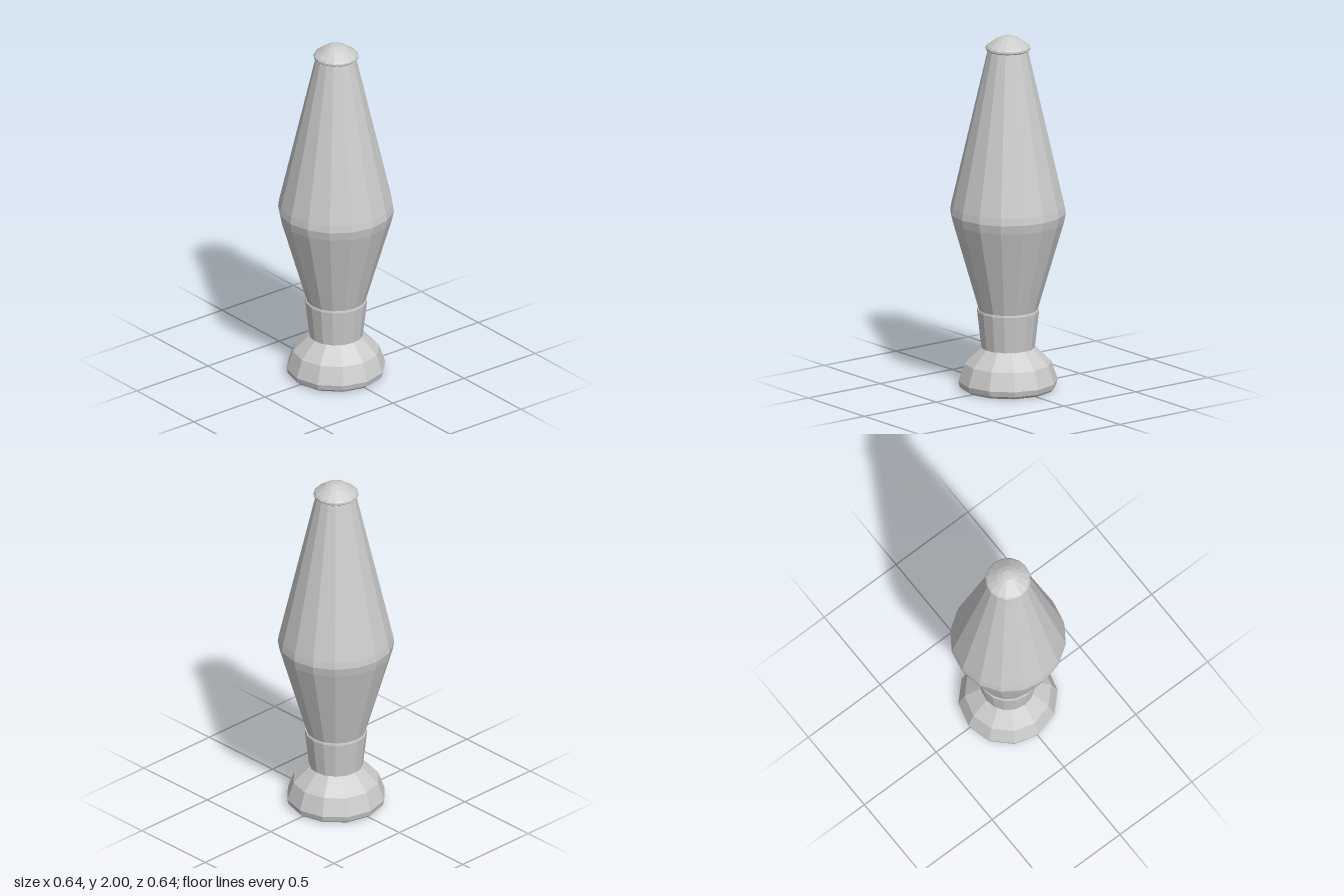
import * as THREE from 'three';

export function createModel() {
  const group = new THREE.Group();
  const material = new THREE.MeshStandardMaterial({ color: 0xcccccc, flatShading: true });

  // Faceted turned part; profile is [radius, height] from bottom to top
  function turned(name, sides, profile) {
    const points = profile.map(([r, y]) => new THREE.Vector2(r, y));
    const mesh = new THREE.Mesh(new THREE.LatheGeometry(points, sides), material);
    mesh.name = name;
    group.add(mesh);
  }

  // Foot with a shallow hollow underneath
  turned('base', 12, [
    [0, 0.03], [0.25, 0], [0.268, 0.015], [0.275, 0.045],
    [0.24, 0.145], [0.15, 0.235], [0, 0.235],
  ]);

  // Flared collar holding the body
  turned('collar', 16, [
    [0, 0.23], [0.148, 0.23], [0.172, 0.44], [0.17, 0.45], [0, 0.45],
  ]);

  // Tapered body, widest near the middle
  turned('body', 16, [
    [0, 0.44], [0.161, 0.44], [0.31, 0.95], [0.32, 1.0],
    [0.314, 1.04], [0.11, 1.925], [0, 1.925],
  ]);

  // Domed cap with a rounded lip
  turned('cap', 16, [
    [0, 1.918], [0.115, 1.918], [0.124, 1.925], [0.124, 1.935],
    [0.115, 1.946], [0.062, 1.983], [0.03, 1.997], [0, 2],
  ]);

  return group;
}
